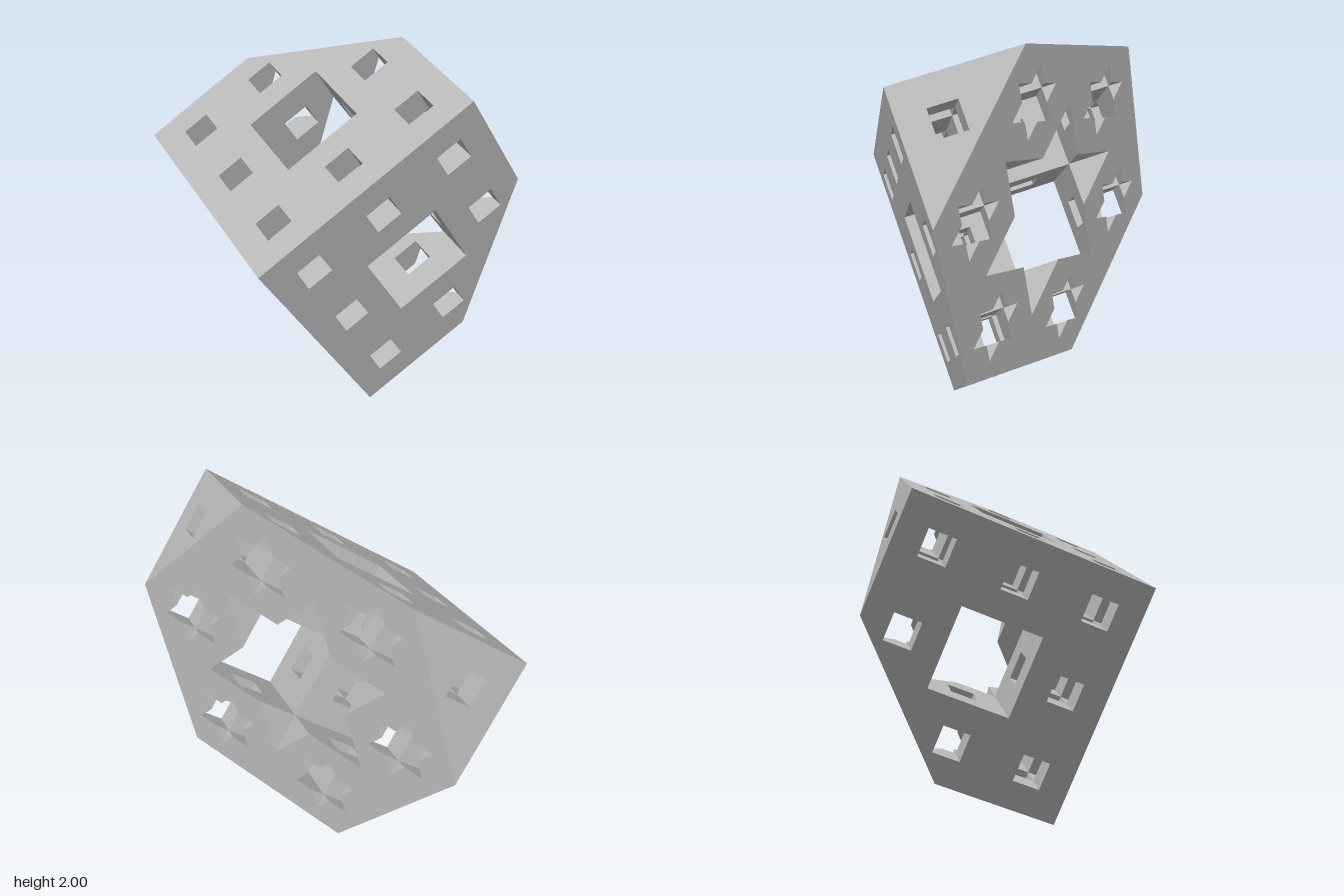
import * as THREE from 'three';

const N = 9;                       // cells along each edge of the cube
const CUT = 1.5 * N;               // keep u + v + w <= CUT
const EDGE = 1.359;                // cube edge length
const UNIT = EDGE / N;
const CORNER = new THREE.Vector3(0.0718, 1.0718, EDGE * Math.sqrt(3) / 4);

// The cube stands with its body diagonal along z; three edges run back from the front corner
const AXES = [45, 285, 165].map((deg) => {
  const a = THREE.MathUtils.degToRad(deg), r = Math.sqrt(2 / 3);
  return new THREE.Vector3(r * Math.cos(a), r * Math.sin(a), -1 / Math.sqrt(3)).multiplyScalar(UNIT);
});

const toWorld = (p) => AXES.reduce((v, axis, i) => v.addScaledVector(axis, p[i]), CORNER.clone());
const sum = (p) => p[0] + p[1] + p[2];

// A cell is removed where two or more digits are in the middle third, at either scale
function solid(cell) {
  if (cell.some((c) => c < 0 || c >= N)) return false;
  const open = (digits) => digits.filter((d) => d === 1).length >= 2;
  return !open(cell.map((c) => c % 3)) && !open(cell.map((c) => Math.floor(c / 3)));
}

// Keep the part of a polygon in front of the diagonal cut
function clip(poly) {
  const out = [];
  poly.forEach((p, i) => {
    const q = poly[(i + 1) % poly.length];
    const dp = sum(p) - CUT, dq = sum(q) - CUT;
    if (dp <= 0) out.push(p);
    if (dp * dq < 0) out.push(p.map((c, k) => c + (q[k] - c) * dp / (dp - dq)));
  });
  return out;
}

// One square side of a cell, wound outwards
function cellSide(cell, axis, dir) {
  const b = (axis + 1) % 3, c = (axis + 2) % 3;
  const quad = [[0, 0], [1, 0], [1, 1], [0, 1]].map(([s, t]) => {
    const p = [...cell];
    if (dir > 0) p[axis] += 1;
    p[b] += s;
    p[c] += t;
    return p;
  });
  return dir > 0 ? quad : quad.reverse();
}

// Slice of a cell lying in the cut plane, facing -z
function cellSlice(cell) {
  const rest = CUT - sum(cell), points = [];
  for (let axis = 0; axis < 3; axis++)
    for (const s of [0, 1]) for (const t of [0, 1]) {
      const along = rest - s - t;
      if (along <= 0 || along >= 1) continue;
      const p = [...cell];
      p[axis] += along;
      p[(axis + 1) % 3] += s;
      p[(axis + 2) % 3] += t;
      points.push(toWorld(p));
    }
  if (points.length < 3) return [];
  const mid = points.reduce((m, p) => m.add(p), new THREE.Vector3()).divideScalar(points.length);
  const angle = (p) => Math.atan2(p.y - mid.y, p.x - mid.x);
  return points.sort((p, q) => angle(q) - angle(p));
}

// Fan-triangulate convex polygons into a flat-faced mesh
function polygonMesh(name, polygons, material) {
  const points = [];
  for (const poly of polygons)
    for (let i = 1; i + 1 < poly.length; i++) points.push(poly[0], poly[i], poly[i + 1]);
  const geometry = new THREE.BufferGeometry().setFromPoints(points);
  geometry.computeVertexNormals();
  const mesh = new THREE.Mesh(geometry, material);
  mesh.name = name;
  return mesh;
}

export function createModel() {
  const group = new THREE.Group();
  group.name = 'halfFractalCube';
  const grey = new THREE.MeshStandardMaterial({ color: 0xb8b8b8 });
  grey.name = 'grey';

  const outer = [], tunnels = [], slices = [];
  for (let i = 0; i < N; i++) for (let j = 0; j < N; j++) for (let k = 0; k < N; k++) {
    const cell = [i, j, k];
    if (!solid(cell) || sum(cell) >= CUT) continue;
    for (let axis = 0; axis < 3; axis++) for (const dir of [-1, 1]) {
      const next = [...cell];
      next[axis] += dir;
      if (solid(next)) continue;
      const poly = clip(cellSide(cell, axis, dir)).map(toWorld);
      const outside = next[axis] < 0 || next[axis] >= N;
      (outside ? outer : tunnels).push(poly);
    }
    slices.push(cellSlice(cell));
  }

  group.add(
    polygonMesh('outerFaces', outer, grey),      // six cube faces, trimmed by the cut
    polygonMesh('tunnelWalls', tunnels, grey),   // square tunnels through the cube
    polygonMesh('cutFace', slices, grey),        // hexagonal back with star openings
  );
  return group;
}
